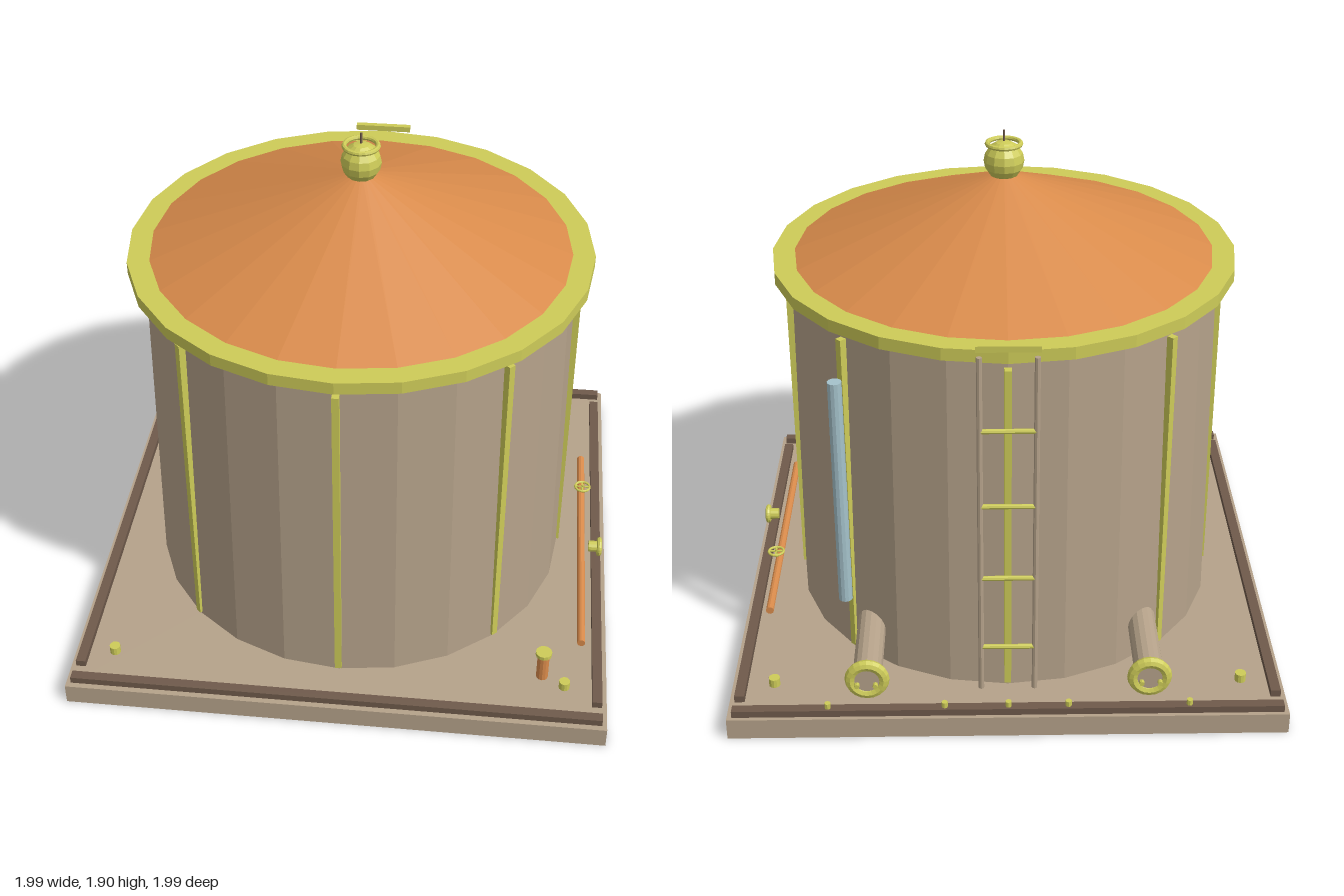
import * as THREE from 'three';

const mat = (name, color) => {
  const m = new THREE.MeshStandardMaterial({ color, flatShading: true });
  m.name = name;
  return m;
};

export function createModel() {
  const tan = mat('tan', 0xb5a28a);
  const yellow = mat('yellow', 0xcdcb58);
  const orange = mat('orange', 0xd98b4b);
  const brown = mat('brown', 0x6f5a4b);
  const blue = mat('pale blue', 0xa5c2cb);

  const root = new THREE.Group();
  root.name = 'storageTank';

  const add = (name, geo, material, x = 0, y = 0, z = 0, parent = root) => {
    const mesh = new THREE.Mesh(geo, material);
    mesh.name = name;
    mesh.position.set(x, y, z);
    parent.add(mesh);
    return mesh;
  };
  const box = (w, h, d) => new THREE.BoxGeometry(w, h, d);
  // Cylinder along y, or turned to lie along x or z
  const rod = (r, length, axis = 'y', sides = 12) => {
    const g = new THREE.CylinderGeometry(r, r, length, sides);
    if (axis === 'x') g.rotateZ(-Math.PI / 2);
    if (axis === 'z') g.rotateX(Math.PI / 2);
    return g;
  };
  const ring = (r, tube, axis = 'z') => {
    const g = new THREE.TorusGeometry(r, tube, 8, 20);
    if (axis === 'y') g.rotateX(Math.PI / 2);
    if (axis === 'x') g.rotateY(Math.PI / 2);
    return g;
  };

  // Base slab with four kerbs
  add('baseSlab', box(1.985, 0.08, 1.985), tan, 0, 0.04, 0.003);
  for (const s of [-1, 1]) {
    add('endKerb', box(1.95, 0.027, 0.036), brown, 0, 0.0925, s * 0.957);
    add('sideKerb', box(0.036, 0.027, 1.78), brown, s * 0.957, 0.0925, 0);
    for (const t of [-1, 1])
      add('anchorBolt', rod(0.02, 0.032), yellow, s * 0.835, 0.13, t * 0.835);
  }
  for (const x of [-0.64, -0.212, 0, 0.225, 0.637])
    add('kerbStud', rod(0.011, 0.024, 'y', 8), yellow, x, 0.115, -0.957);

  // Tank shell, widening slightly toward the ground
  add('tankShell', new THREE.CylinderGeometry(0.782, 0.8, 1.34, 24), tan, 0, 0.75, 0);

  // Upright ribs
  for (let i = 0; i < 8; i++) {
    const a = (i * Math.PI) / 4;
    const rib = add('rib', box(0.025, 1.27, 0.026), yellow, 0.795 * Math.sin(a), 0.725, 0.795 * Math.cos(a));
    rib.rotation.y = a;
  }

  // Eave ring and conical roof
  add('eaveRing', new THREE.CylinderGeometry(0.845, 0.845, 0.045, 24), yellow, 0, 1.428, 0);
  add('roof', new THREE.CylinderGeometry(0.04, 0.766, 0.285, 24), orange, 0, 1.5925, 0);

  // Roof vent
  const vent = new THREE.Group();
  vent.name = 'roofVent';
  root.add(vent);
  add('ventBall', new THREE.SphereGeometry(0.073, 12, 8), yellow, 0, 1.787, 0, vent);
  add('ventRim', ring(0.06, 0.009, 'y'), yellow, 0, 1.85, 0, vent);
  add('ventPin', rod(0.004, 0.06, 'y', 6), brown, 0, 1.87, 0, vent);

  // Flanged outlet pipes at the back
  for (const s of [-1, 1]) {
    const pipe = new THREE.Group();
    pipe.name = 'outletPipe';
    pipe.position.set(s * 0.495, 0.22, 0);
    root.add(pipe);
    add('pipeBody', rod(0.052, 0.36, 'z', 16), tan, 0, 0, -0.775, pipe);
    add('pipeFlange', ring(0.059, 0.02), yellow, 0, 0, -0.943, pipe);
    for (const t of [-1, 1])
      add('flangeBolt', rod(0.009, 0.016, 'z', 8), yellow, t * 0.032, 0.008, -0.99, pipe);
  }

  // Ladder at the back
  const ladder = new THREE.Group();
  ladder.name = 'ladder';
  ladder.position.z = -0.845;
  root.add(ladder);
  for (const s of [-1, 1])
    add('ladderRail', rod(0.01, 1.33, 'y', 8), tan, s * 0.095, 0.765, 0, ladder);
  for (let i = 0; i < 4; i++)
    add('ladderRung', rod(0.009, 0.19, 'x', 8), yellow, 0, 0.28 + i * 0.292, 0, ladder);
  add('ladderTopBar', box(0.215, 0.022, 0.022), yellow, 0, 1.465, -0.003, ladder);

  // Level gauge tube
  add('levelGauge', rod(0.025, 0.89), blue, 0.585, 0.785, -0.627);

  // Side feed line with hand wheel and round valve
  add('feedLine', rod(0.015, 1.075, 'z'), orange, 0.895, 0.147, 0.103);
  const wheel = new THREE.Group();
  wheel.name = 'handWheel';
  wheel.position.set(0.895, 0.23, -0.157);
  root.add(wheel);
  add('wheelRim', ring(0.029, 0.005, 'y'), yellow, 0, 0, 0, wheel);
  add('wheelSpoke', box(0.056, 0.005, 0.006), yellow, 0, 0, 0, wheel);
  add('wheelSpoke', box(0.006, 0.005, 0.056), yellow, 0, 0, 0, wheel);
  add('wheelStem', rod(0.005, 0.035, 'y', 8), yellow, 0, -0.008, 0, wheel);

  const valve = new THREE.Group();
  valve.name = 'roundValve';
  valve.position.set(0.945, 0.2, 0.163);
  root.add(valve);
  add('valveBody', rod(0.022, 0.04, 'x'), yellow, -0.005, 0, 0, valve);
  add('valveRim', ring(0.028, 0.01, 'x'), yellow, 0.017, 0, 0, valve);
  add('valveSlot', box(0.006, 0.022, 0.006), brown, 0.016, 0, 0, valve);

  // Drain post at the front corner
  add('drainPost', rod(0.022, 0.115), orange, 0.755, 0.1375, 0.757);
  add('drainCap', rod(0.03, 0.015), yellow, 0.755, 0.2, 0.757);

  return root;
}
